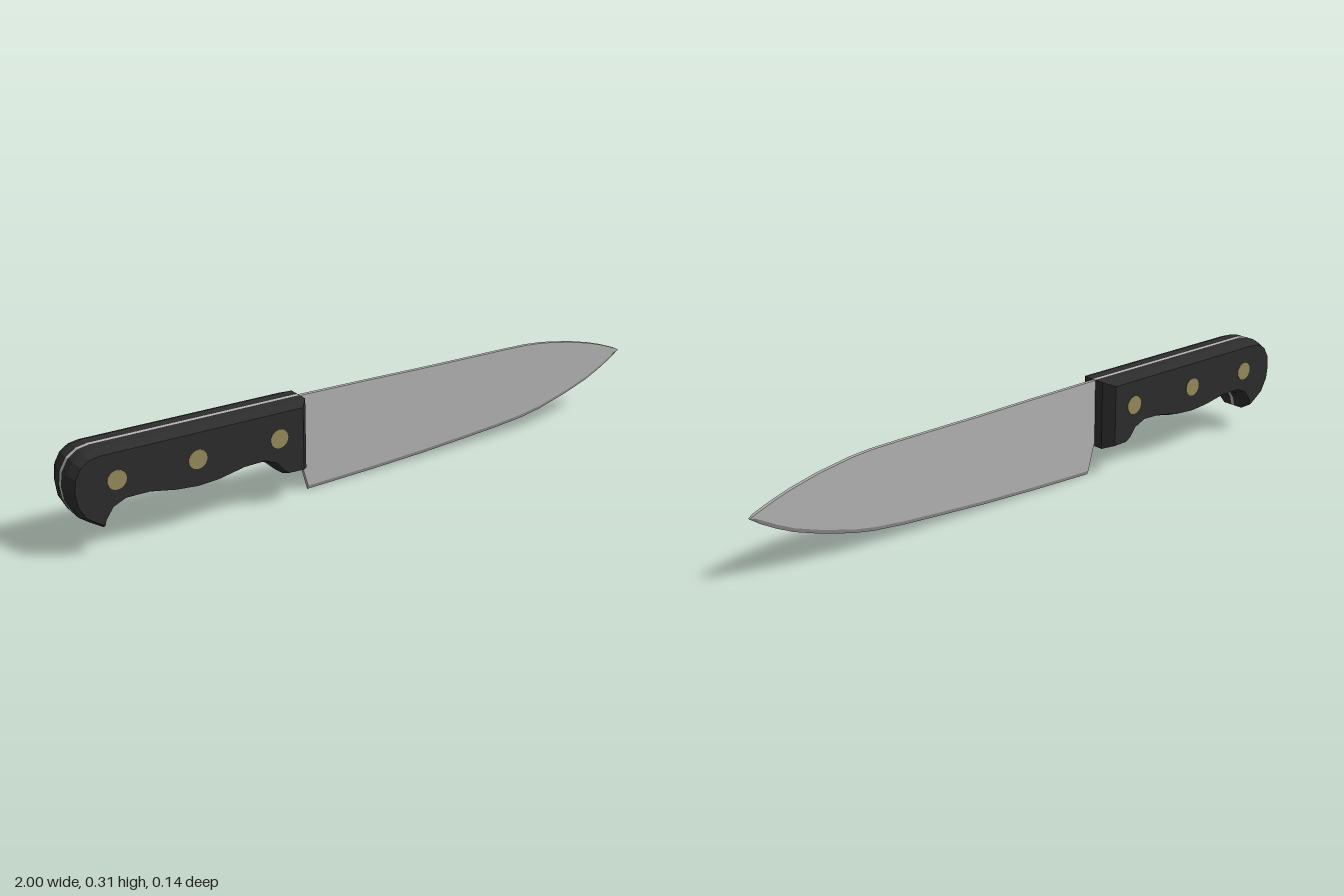
import * as THREE from 'three';

const steel = new THREE.MeshStandardMaterial({ name: 'steel', color: 0xb4b4b4, flatShading: true });
const black = new THREE.MeshStandardMaterial({ name: 'blackHandle', color: 0x2d2d2d, flatShading: true });
const brass = new THREE.MeshStandardMaterial({ name: 'brass', color: 0x978c5c });

const HALF = 0.006; // half thickness of blade and tang

// handle outline, counter-clockwise from the lower front corner
const handleOutline = [
  [-0.247, 0.09], [-0.247, 0.309], [-0.91, 0.311], [-0.945, 0.305], [-0.975, 0.285], [-0.995, 0.25],
  [-1, 0.21], [-0.994, 0.165], [-0.97, 0.12], [-0.938, 0.097], [-0.9, 0.073], [-0.892, 0.103],
  [-0.872, 0.132], [-0.838, 0.147], [-0.77, 0.147], [-0.69, 0.132], [-0.62, 0.126], [-0.55, 0.131],
  [-0.47, 0.147], [-0.405, 0.149], [-0.37, 0.134], [-0.35, 0.108], [-0.328, 0.092],
].map(([x, y]) => new THREE.Vector2(x, y));

// blade cross-sections: x, spine height, edge height
const bladeSections = [
  [-0.247, 0.307, 0.09], [-0.222, 0.307, 0.0], [0, 0.304, 0.007], [0.2, 0.3, 0.016], [0.38, 0.298, 0.028],
  [0.5, 0.297, 0.037], [0.6, 0.295, 0.048], [0.67, 0.289, 0.061], [0.78, 0.271, 0.092], [0.865, 0.25, 0.122],
  [0.917, 0.234, 0.147], [0.965, 0.216, 0.174], [0.985, 0.208, 0.188], [1, 0.2, 0.198],
];

function makeGeometry(triangles) {
  const geometry = new THREE.BufferGeometry();
  geometry.setAttribute('position', new THREE.Float32BufferAttribute(triangles.flat(2), 3));
  geometry.computeVertexNormals();
  return geometry;
}

// joins two equal closed rings with quads
function bridge(out, a, b) {
  a.forEach((p, i) => {
    const j = (i + 1) % a.length;
    out.push([p, a[j], b[j]], [p, b[j], b[i]]);
  });
}

// shrinks the outline, with a longer chamfer at the front end
function inset(points, amount) {
  return points.map((p, i) => {
    const before = points[(i + points.length - 1) % points.length];
    const after = points[(i + 1) % points.length];
    const d1 = p.clone().sub(before).normalize();
    const d2 = after.clone().sub(p).normalize();
    const n1 = new THREE.Vector2(-d1.y, d1.x);
    const n2 = new THREE.Vector2(-d2.y, d2.x);
    const miter = n1.clone().add(n2).normalize();
    const q = p.clone().addScaledVector(miter, amount / Math.max(miter.dot(n1), 0.6));
    if (p.x > -0.25) q.x = -0.274;
    return q;
  });
}

// one handle half: straight wall, chamfer and flat outer face
function scaleGeometry(side) {
  const ring = (points, z) => points.map((p) => [p.x, p.y, z * side]);
  const inner = inset(handleOutline, 0.012);
  const rings = [ring(handleOutline, HALF), ring(handleOutline, 0.038), ring(inner, 0.07)];
  const triangles = [];
  bridge(triangles, rings[0], rings[1]);
  bridge(triangles, rings[1], rings[2]);
  for (const [a, b, c] of THREE.ShapeUtils.triangulateShape(inner, [])) {
    triangles.push([rings[2][a], rings[2][b], rings[2][c]]);
  }
  if (side < 0) triangles.forEach((t) => t.reverse());
  return makeGeometry(triangles);
}

// flat blade with a narrow ground edge
function bladeGeometry() {
  const rings = bladeSections.map(([x, top, edge]) => {
    const grind = edge + Math.min(0.013, (top - edge) / 2);
    const t = x >= 1 ? HALF / 2 : HALF;
    return [[x, top, t], [x, top, -t], [x, grind, -t], [x, edge, 0], [x, grind, t]];
  });
  const triangles = [];
  for (let i = 0; i + 1 < rings.length; i++) bridge(triangles, rings[i + 1], rings[i]);
  const cap = (r) => [[r[0], r[4], r[1]], [r[1], r[4], r[2]], [r[2], r[4], r[3]]];
  triangles.push(...cap(rings[rings.length - 1]));
  triangles.push(...cap(rings[0]).map((t) => t.reverse()));
  return makeGeometry(triangles);
}

export function createModel() {
  const model = new THREE.Group();
  model.name = 'kitchenKnife';
  const add = (name, geometry, material) => {
    const mesh = new THREE.Mesh(geometry, material);
    mesh.name = name;
    model.add(mesh);
    return mesh;
  };

  add('blade', bladeGeometry(), steel);

  // steel tang between the handle halves
  const tang = new THREE.ExtrudeGeometry(new THREE.Shape(handleOutline), { depth: HALF * 2, bevelEnabled: false });
  tang.translate(0, 0, -HALF);
  add('tang', tang, steel);

  add('frontHandleScale', scaleGeometry(1), black);
  add('backHandleScale', scaleGeometry(-1), black);

  // rivets through the handle, almost flush
  for (const x of [-0.865, -0.618, -0.355]) {
    const rivet = new THREE.CylinderGeometry(0.029, 0.029, 0.143, 24).rotateX(Math.PI / 2);
    add('rivet', rivet, brass).position.set(x, 0.219, 0);
  }
  return model;
}
